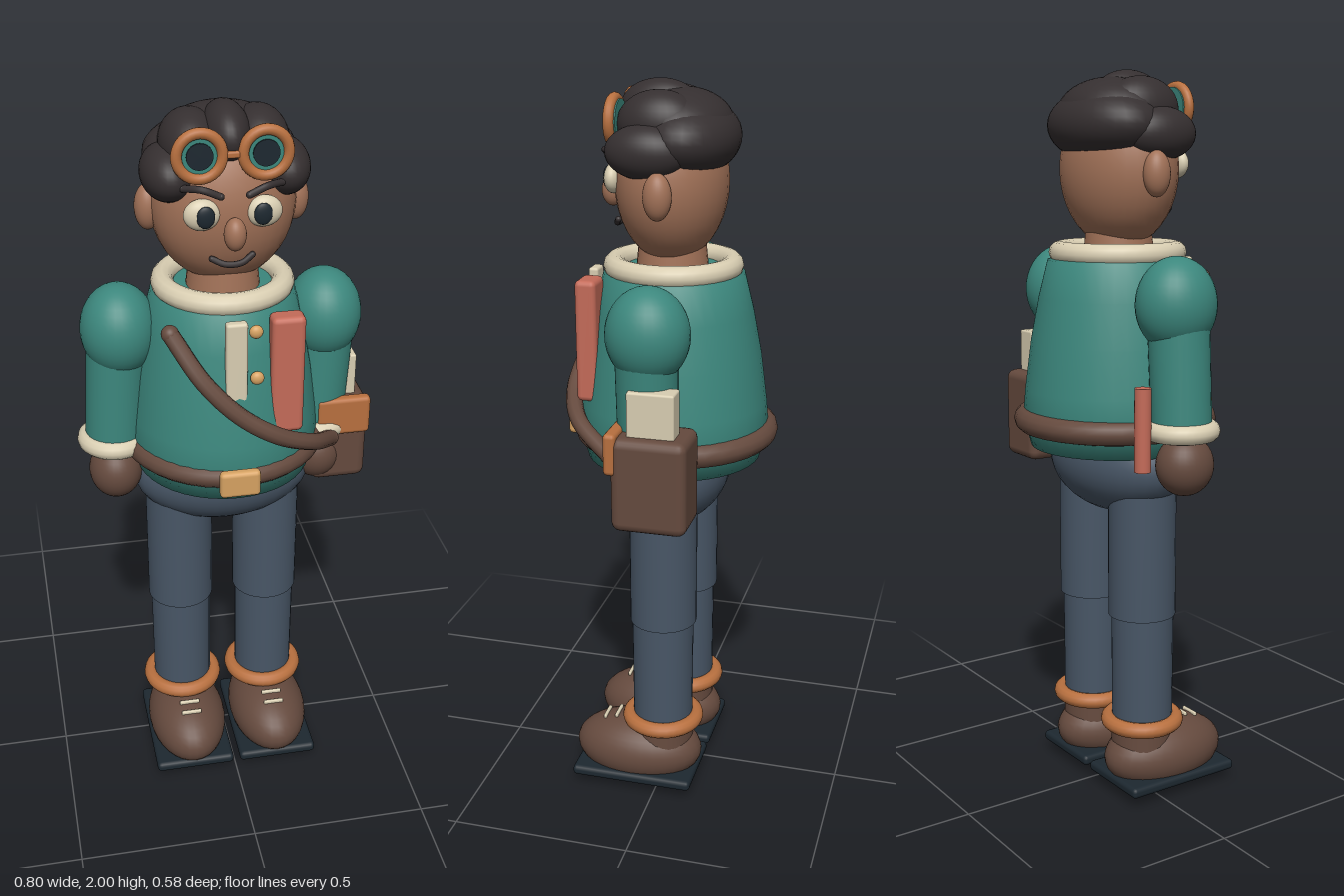
import * as THREE from 'three';
import { RoundedBoxGeometry } from 'three/addons/geometries/RoundedBoxGeometry.js';

const mat = (name, color) => {
  const m = new THREE.MeshStandardMaterial({ color });
  m.name = name;
  return m;
};

export function createModel() {
  const teal = mat('teal cloth', 0x3c877d);
  const skin = mat('skin', 0xa27258);
  const hairDark = mat('dark hair', 0x352f30);
  const denim = mat('slate trousers', 0x485666);
  const leather = mat('brown leather', 0x654a3e);
  const copper = mat('copper', 0xb8703f);
  const brass = mat('brass', 0xd6a262);
  const cream = mat('cream', 0xd9ceb2);
  const red = mat('red', 0xc46b59);
  const black = mat('black rubber', 0x1d2830);

  const model = new THREE.Group();
  model.name = 'adventurer';

  // helpers
  const add = (name, geo, material, x = 0, y = 0, z = 0) => {
    const m = new THREE.Mesh(geo, material);
    m.name = name;
    m.position.set(x, y, z);
    model.add(m);
    return m;
  };
  const ball = (name, material, p, r) => {
    const g = new THREE.SphereGeometry(1, 32, 20).scale(r[0], r[1], r[2]);
    return add(name, g, material, ...p);
  };
  const box = (name, material, p, s, r = 0.01) =>
    add(name, new RoundedBoxGeometry(s[0], s[1], s[2], 2, r), material, ...p);
  const post = (name, material, p, rTop, rBottom, h) =>
    add(name, new THREE.CylinderGeometry(rTop, rBottom, h, 28), material, ...p);
  const hoop = (name, material, p, R, r) =>
    add(name, new THREE.TorusGeometry(R, r, 12, 36).rotateX(Math.PI / 2), material, ...p);
  const tube = (name, material, pts, r) => {
    const curve = new THREE.CatmullRomCurve3(pts.map((p) => new THREE.Vector3(...p)));
    const m = add(name, new THREE.TubeGeometry(curve, 32, r, 10), material);
    for (const p of [pts[0], pts[pts.length - 1]]) ball(name + 'End', material, p, [r, r, r]);
    return m;
  };

  // legs and boots
  for (const s of [-1, 1]) {
    const x = s * 0.126;
    post('thigh', denim, [x, 0.71, -0.007], 0.094, 0.094, 0.37);
    post('shin', denim, [x, 0.36, -0.005], 0.087, 0.085, 0.36);
    hoop('bootCuff', copper, [x, 0.21, -0.005], 0.095, 0.022);
    ball('boot', leather, [x, 0.1, 0.068], [0.115, 0.1, 0.187]);
    post('bootAnkle', leather, [x, 0.15, -0.005], 0.085, 0.09, 0.12);
    box('sole', black, [x, 0.045, 0.065], [0.232, 0.03, 0.352], 0.012);
    for (const z of [0.13, 0.165]) {
      box('lace', cream, [x, 0.196 - (z - 0.13) * 0.25, z], [0.06, 0.012, 0.01], 0.004);
    }
  }
  ball('hips', denim, [0, 0.945, -0.008], [0.25, 0.145, 0.152]);

  // jacket
  const profile = [[0, 0.99], [0.24, 0.99], [0.262, 1.07], [0.255, 1.15], [0.238, 1.28], [0.215, 1.4], [0.19, 1.5], [0.15, 1.515], [0, 1.515]];
  // doubled corners keep the hem crisp
  add('jacket', new THREE.LatheGeometry(profile.map((p) => new THREE.Vector2(...p)), 40), teal, 0, 0, -0.005);
  hoop('collar', cream, [0, 1.52, -0.003], 0.158, 0.03);
  hoop('belt', leather, [0, 1.065, -0.012], 0.248, 0.033);
  box('buckle', brass, [-0.006, 1.065, 0.276], [0.108, 0.075, 0.03], 0.012);
  box('placket', cream, [-0.006, 1.35, 0.217], [0.056, 0.3, 0.028], 0.008);
  for (const [y, z] of [[1.465, 0.208], [1.345, 0.228]]) {
    ball('button', brass, [0.046, y, z], [0.018, 0.018, 0.013]);
  }
  box('chestNotebook', red, [0.13, 1.335, 0.193], [0.088, 0.33, 0.058], 0.015);
  tube('shoulderStrap', leather, [
    [-0.165, 1.455, 0.16], [-0.09, 1.34, 0.222], [0, 1.248, 0.25],
    [0.1, 1.18, 0.25], [0.2, 1.125, 0.205], [0.285, 1.06, 0.09],
  ], 0.023);

  // arms
  for (const [s, wrist] of [[-1, 0.3], [1, 0.262]]) {
    const mid = (wrist + 0.28) / 2;
    ball('shoulder', teal, [s * 0.276, 1.4, -0.008], [0.102, 0.125, 0.11]);
    const sleeve = post('sleeve', teal, [s * mid, 1.235, -0.005], 0.082, 0.08, 0.33);
    sleeve.rotation.z = s * Math.atan2(wrist - 0.28, 0.33);
    hoop('sleeveCuff', cream, [s * wrist, 1.075, -0.005], 0.076, 0.026);
    ball('glove', leather, [s * (wrist + 0.002), 0.98, 0.005], [0.073, 0.082, 0.08]);
  }
  post('redTool', red, [-0.287, 1.085, -0.12], 0.022, 0.022, 0.22);

  // satchel
  box('satchel', leather, [0.322, 1.03, -0.037], [0.156, 0.255, 0.2], 0.025);
  box('satchelFlap', copper, [0.326, 1.113, 0.062], [0.15, 0.112, 0.034], 0.012);
  box('papers', cream, [0.337, 1.2, -0.038], [0.064, 0.15, 0.125], 0.006);

  // head
  post('neck', skin, [0, 1.53, 0], 0.09, 0.1, 0.1);
  ball('head', skin, [0, 1.74, 0], [0.187, 0.21, 0.148]);
  ball('nose', skin, [0, 1.71, 0.163], [0.028, 0.042, 0.03]);
  for (const s of [-1, 1]) {
    ball('ear', skin, [s * 0.19, 1.73, -0.01], [0.034, 0.06, 0.037]);
    ball('eye', cream, [s * 0.077, 1.755, 0.135], [0.046, 0.04, 0.025]);
    ball('pupil', black, [s * 0.071, 1.755, 0.156], [0.023, 0.028, 0.009]);
    tube('eyebrow', hairDark, [
      [s * 0.122, 1.822, 0.128], [s * 0.08, 1.826, 0.158], [s * 0.035, 1.808, 0.162],
    ], 0.009);
  }
  tube('mouth', hairDark, [
    [-0.052, 1.637, 0.132], [-0.02, 1.626, 0.146], [0.02, 1.627, 0.146], [0.05, 1.642, 0.134],
  ], 0.008);

  // hair made of overlapping lobes
  ball('hairBack', hairDark, [0, 1.855, -0.048], [0.195, 0.1, 0.13]);
  ball('hairCrown', hairDark, [0, 1.885, -0.025], [0.165, 0.095, 0.135]);
  ball('hairTuft', hairDark, [0, 1.925, 0.03], [0.06, 0.075, 0.108]);
  for (const s of [-1, 1]) {
    ball('hairTuft', hairDark, [s * 0.085, 1.895, 0.012], [0.078, 0.085, 0.11]);
    ball('hairSide', hairDark, [s * 0.145, 1.832, 0.03], [0.068, 0.07, 0.108]);
  }

  // goggles on the forehead
  for (const s of [-1, 1]) {
    const x = s * 0.081;
    add('goggleRim', new THREE.TorusGeometry(0.056, 0.014, 12, 32), copper, x, 1.9, 0.131);
    const disc = (name, m, r, z, h) =>
      add(name, new THREE.CylinderGeometry(r, r, h, 28).rotateX(Math.PI / 2), m, x, 1.9, z);
    disc('goggleLens', teal, 0.054, 0.124, 0.02);
    disc('goggleLensCentre', black, 0.033, 0.135, 0.006);
  }
  box('goggleBridge', copper, [0, 1.9, 0.13], [0.04, 0.018, 0.02], 0.006);

  return model;
}
